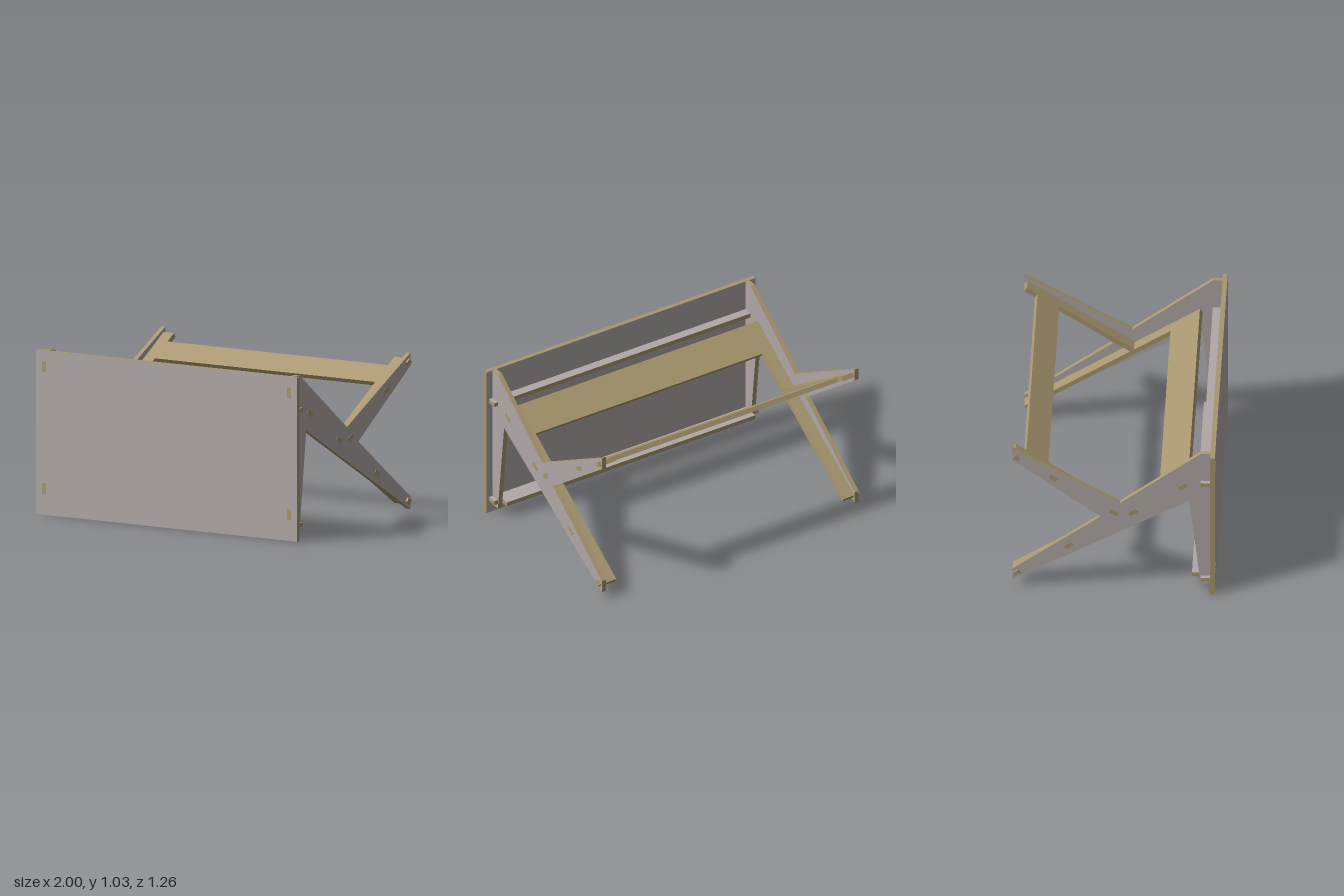
import * as THREE from 'three';

const T = 0.03; // sheet thickness
const faceMat = new THREE.MeshStandardMaterial({ color: 0xb0a8a6 });
const woodMat = new THREE.MeshStandardMaterial({ color: 0xa8966f });

// Flat sheet cut from an outline, centred on its thickness
function sheet(name, points, depth, face) {
  const shape = new THREE.Shape(points.map(([x, y]) => new THREE.Vector2(x, y)));
  const geo = new THREE.ExtrudeGeometry(shape, { depth, bevelEnabled: false });
  geo.translate(0, 0, -depth / 2);
  const mesh = new THREE.Mesh(geo, [face, woodMat]);
  mesh.name = name;
  return mesh;
}

// Complete a right-half outline (bottom to top) with its mirror image
function mirrored(half) {
  return [...half, ...half.map(([x, y]) => [-x, y]).reverse()];
}

// Two arms joined by a crossbar, with tabs [centre, half length, reach] on the outside
function frame(name, { low, high, barLow, barHigh, tabs }) {
  const inner = 0.845, outer = 0.925;
  const half = [[inner, barLow], [inner, low], [outer, low]];
  for (const [c, h, reach] of tabs) {
    half.push([outer, c - h], [reach, c - h], [reach, c + h], [outer, c + h]);
  }
  half.push([outer, high]);
  if (barHigh < high) half.push([inner, high], [inner, barHigh]);
  return sheet(name, mirrored(half), T, woodMat);
}

export function createModel() {
  const model = new THREE.Group();

  // Upright front panel
  const panel = sheet('frontPanel', [[-1, 0], [1, 0], [1, 1.03], [-1, 1.03]], T, faceMat);
  panel.position.z = 0.615;
  model.add(panel);

  // Branching side plates, outlined as [z, y], with tabs through the panel
  const profile = [
    [0.6, 1.03], [0.54, 1.03], [0.04, 0.645], [-0.63, 1.03], [-0.63, 0.95], [-0.08, 0.54],
    [-0.63, 0.13], [-0.63, 0.05], [0.47, 0.675], [0.54, 0.05], [0.6, 0.05],
  ];
  for (const [side, s] of [['left', 1], ['right', -1]]) {
    const plate = sheet(side + 'SidePlate', profile, T, faceMat);
    plate.rotation.y = -Math.PI / 2;
    plate.position.x = s * 0.94;
    model.add(plate);
    for (const y of [0.165, 0.93]) {
      const tab = new THREE.Mesh(new THREE.BoxGeometry(T, 0.066, 0.034), woodMat);
      tab.name = side + 'PanelTab';
      tab.position.set(s * 0.94, y, 0.6145);
      model.add(tab);
    }
  }

  // Sloping lower frame: front shelf with two legs running down to the back
  const lower = frame('lowerFrame', {
    low: -0.02, high: 1.278, barLow: 1.063, barHigh: 1.278,
    tabs: [[0, 0.019, 0.968], [0.385, 0.028, 0.957], [0.863, 0.028, 0.957], [1.233, 0.028, 0.957]],
  });
  lower.position.set(0, 0.105, -0.603);
  lower.rotation.x = Math.atan2(0.838, 0.545);
  model.add(lower);

  // Sloping upper frame: two arms rising to the back with a crossbar
  const upper = frame('upperFrame', {
    low: -0.78, high: 0.02, barLow: -0.222, barHigh: -0.06,
    tabs: [[-0.725, 0.028, 0.957], [-0.274, 0.028, 0.957], [0, 0.019, 0.968]],
  });
  upper.position.set(0, 0.975, -0.603);
  upper.rotation.x = -Math.atan2(0.832, 0.555);
  model.add(upper);

  // Horizontal rails behind the panel, outlined as [x, z], tabs passing the side plates
  const rails = [
    ['upperRail', 0.814, [[0.982, 0.54], [0.982, 0.6]]],
    ['lowerRail', 0.097, [[0.925, 0.485], [0.925, 0.54], [0.982, 0.54], [0.982, 0.6]]],
  ];
  for (const [name, y, half] of rails) {
    const rail = sheet(name, mirrored(half), 0.028, faceMat);
    rail.rotation.x = Math.PI / 2;
    rail.position.y = y;
    model.add(rail);
  }

  return model;
}
